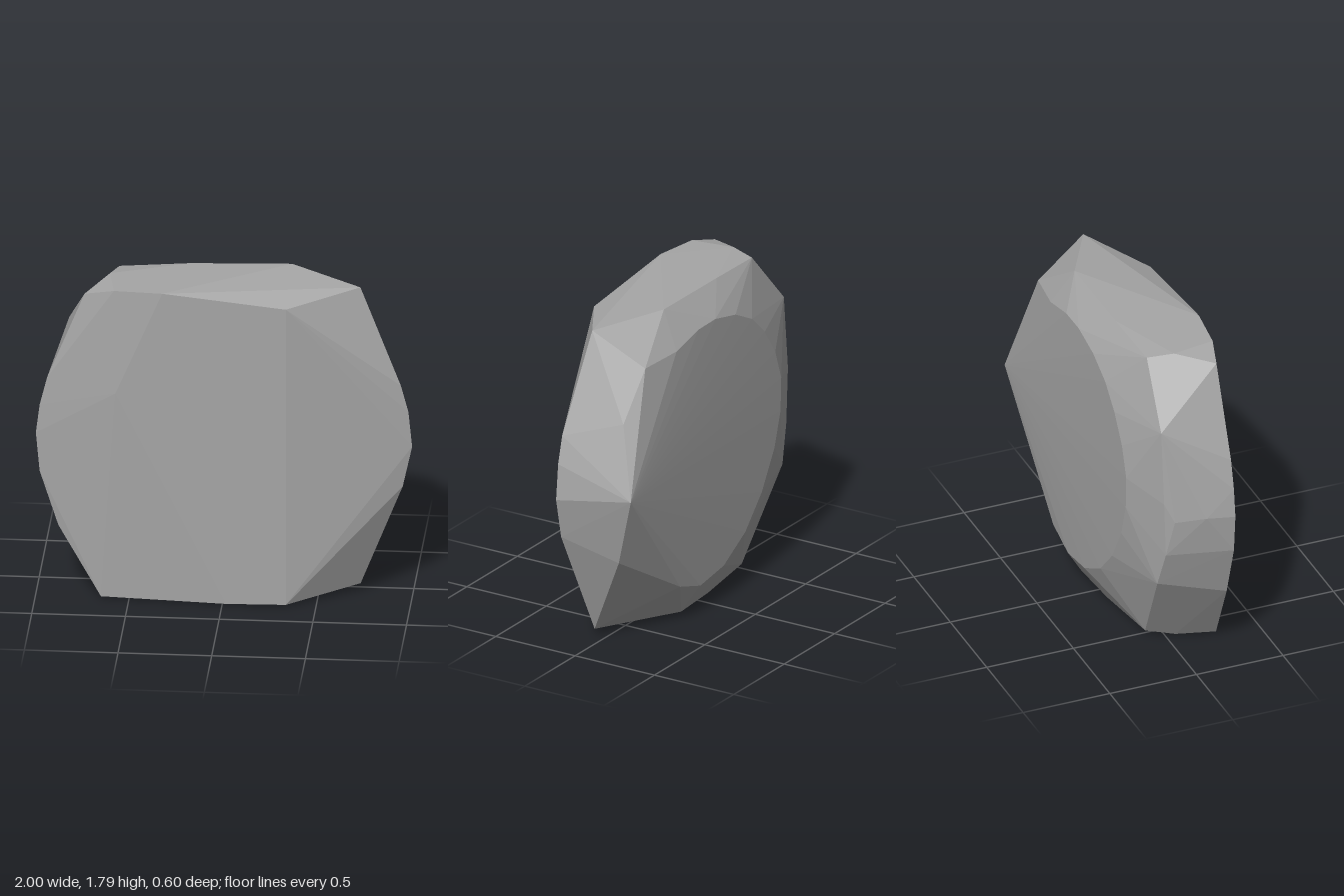
import * as THREE from 'three';
import { ConvexGeometry } from 'three/addons/geometries/ConvexGeometry.js';

// Places [x, y] points on a plane of constant z
const layer = (z, pts) => pts.map(([x, y]) => new THREE.Vector3(x, y, z));
const spots = (pts) => pts.map((p) => new THREE.Vector3(...p));

export function createModel() {
  const group = new THREE.Group();
  group.name = 'rock';
  const stone = new THREE.MeshStandardMaterial({ color: 0xa6a6a6, flatShading: true });
  stone.name = 'grey stone';

  const corners = [
    // flat front
    ...layer(0.3, [[-0.32, 1.785], [0.34, 1.715], [0.34, 0.01], [0.02, 0.005], [-0.57, 1.2]]),
    // front edge of the -x end
    ...layer(0.225, [[-0.74, 1.74], [-0.94, 1.25], [-0.98, 1.09], [-1, 0.93], [-0.98, 0.71], [-0.88, 0.4]]),
    // ridge of the +x end
    ...layer(0.12, [[0.94, 1.22], [0.98, 1.07], [1, 0.87], [0.95, 0.64]]),
    // rounded back
    ...layer(-0.255, [
      [0.395, 1.597], [0.18, 1.647], [0.01, 1.65], [-0.19, 1.605], [-0.354, 1.523], [-0.48, 1.405],
      [-0.584, 1.253], [-0.643, 1.083], [-0.636, 0.897], [-0.576, 0.703], [-0.45, 0.491],
      [-0.287, 0.32], [-0.072, 0.2], [0.158, 0.166], [0.36, 0.23],
    ]),
    // back point and the chipped +x corners around it
    ...spots([[0.92, 0.92, -0.3], [0.85, 0.52, -0.18], [0.82, 1.31, -0.19], [0.65, 1.58, -0.22]]),
    ...spots([[0.72, 1.76, 0.07], [0.72, 0.045, 0.055]]),
    // chipped back of the -x end
    ...spots([[-0.85, 1.45, -0.14], [-0.89, 1.03, -0.14], [-0.89, 0.71, -0.13], [-0.82, 0.5, -0.15],
      [-0.92, 0.92, -0.09], [-0.975, 0.94, 0.07]]),
    // top
    ...spots([[-0.58, 1.78, 0.27], [-0.62, 1.78, 0.03], [-0.58, 1.765, -0.11], [-0.2, 1.785, -0.13], [0.34, 1.795, -0.14]]),
    // base
    ...spots([[-0.65, 0.01, 0.26], [-0.59, 0.01, 0.05], [-0.51, 0.02, -0.09], [-0.1, 0.01, -0.14], [0.2, 0.01, -0.16], [0, 0, 0.1]]),
  ];

  const rock = new THREE.Mesh(new ConvexGeometry(corners), stone);
  rock.name = 'facetedStone';
  group.add(rock);
  return group;
}
